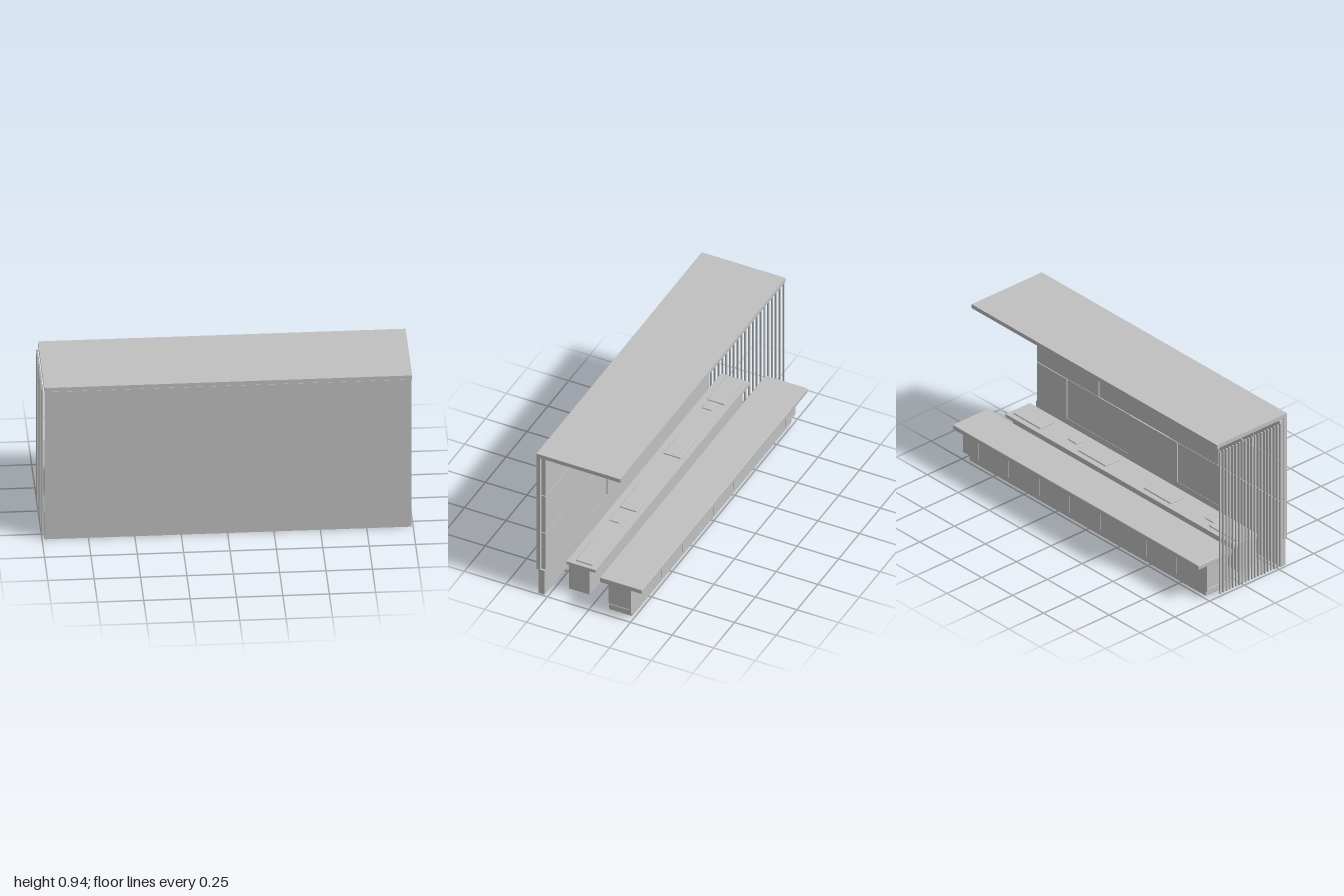
import * as THREE from 'three';
import { RoundedBoxGeometry } from 'three/addons/geometries/RoundedBoxGeometry.js';

export function createModel() {
  const model = new THREE.Group();
  model.name = 'serviceBar';
  const plainGrey = new THREE.MeshStandardMaterial({ color: 0xc0c0c0 });
  plainGrey.name = 'plain grey';

  // Box given by its limits on each axis; radius softens its edges
  function box(name, [x0, x1], [y0, y1], [z0, z1], radius = 0, parent = model) {
    const size = [x1 - x0, y1 - y0, z1 - z0];
    const geometry = radius
      ? new RoundedBoxGeometry(...size, 2, radius)
      : new THREE.BoxGeometry(...size);
    const mesh = new THREE.Mesh(geometry, plainGrey);
    mesh.position.set((x0 + x1) / 2, (y0 + y1) / 2, (z0 + z1) / 2);
    mesh.name = name;
    parent.add(mesh);
    return mesh;
  }
  function section(name) {
    const group = new THREE.Group();
    group.name = name;
    model.add(group);
    return group;
  }

  // Wall and canopy
  const span = [-0.987, 0.99];
  box('wallPanel', span, [0.16, 0.921], [0.299, 0.321]);
  box('wallBase', span, [0, 0.162], [0.273, 0.307]);
  box('canopy', [-0.988, 0.994], [0.921, 0.945], [-0.186, 0.319]);
  box('lightStrip', [-0.97, 0.97], [0.909, 0.916], [0.234, 0.259]);

  // Wall cladding: three rows with staggered joints
  const cladding = section('wallCladding');
  const rows = [
    { y: [0.162, 0.407], joints: [-0.985, -0.66, -0.155, 0.237, 0.74, 0.98] },
    { y: [0.412, 0.657], joints: [-0.985, -0.488, -0.09, 0.479, 0.98] },
    { y: [0.662, 0.907], joints: [-0.985, -0.77, -0.257, 0.135, 0.648, 0.98] },
  ];
  rows.forEach(({ y, joints }, r) => {
    for (let i = 0; i < joints.length - 1; i++) {
      const inner = (i + r) % 2 ? 0.275 : 0.272;
      box('claddingTile', [joints[i] + 0.002, joints[i + 1] - 0.002], y, [inner, 0.297], 0, cladding);
    }
  });

  // Slatted end screen
  const screen = section('slatScreen');
  for (let i = 0; i < 20; i++) {
    const z = 0.267 - i * 0.02295;
    box('slat', [-1, -0.99], [0.013, 0.903], [z - 0.0045, z + 0.0045], 0, screen);
  }

  // Customer counter with a row of facing panels
  const counter = section('counter');
  box('counterTop', [-0.988, 1], [0.214, 0.242], [-0.319, -0.064], 0.004, counter);
  box('counterBody', [-0.957, 0.957], [0.047, 0.214], [-0.24, -0.097], 0, counter);
  box('counterPlinth', [-0.957, 0.957], [0.006, 0.046], [-0.239, -0.098], 0.006, counter);
  const panelStep = 1.974 / 16;
  for (let i = 0; i < 16; i++) {
    const x = -0.98 + i * panelStep;
    box('counterPanel', [x + 0.001, x + panelStep - 0.001], [0.047, 0.212], [-0.249, -0.239], 0, counter);
  }

  // Work bench between counter and wall
  const bench = section('workBench');
  box('benchBody', [-0.912, 0.912], [0.027, 0.197], [0.04, 0.165], 0, bench);
  box('benchTop', [-0.925, 0.925], [0.197, 0.216], [-0.003, 0.172], 0, bench);
  for (const x of [-0.79, -0.263, 0.263, 0.79]) {
    box('largePlate', [x - 0.11, x + 0.11], [0.215, 0.225], [0.028, 0.131], 0.004, bench);
  }
  for (const x of [-0.64, 0.467]) {
    box('smallPlate', [x - 0.036, x + 0.036], [0.215, 0.224], [0.066, 0.128], 0.004, bench);
  }

  return model;
}
